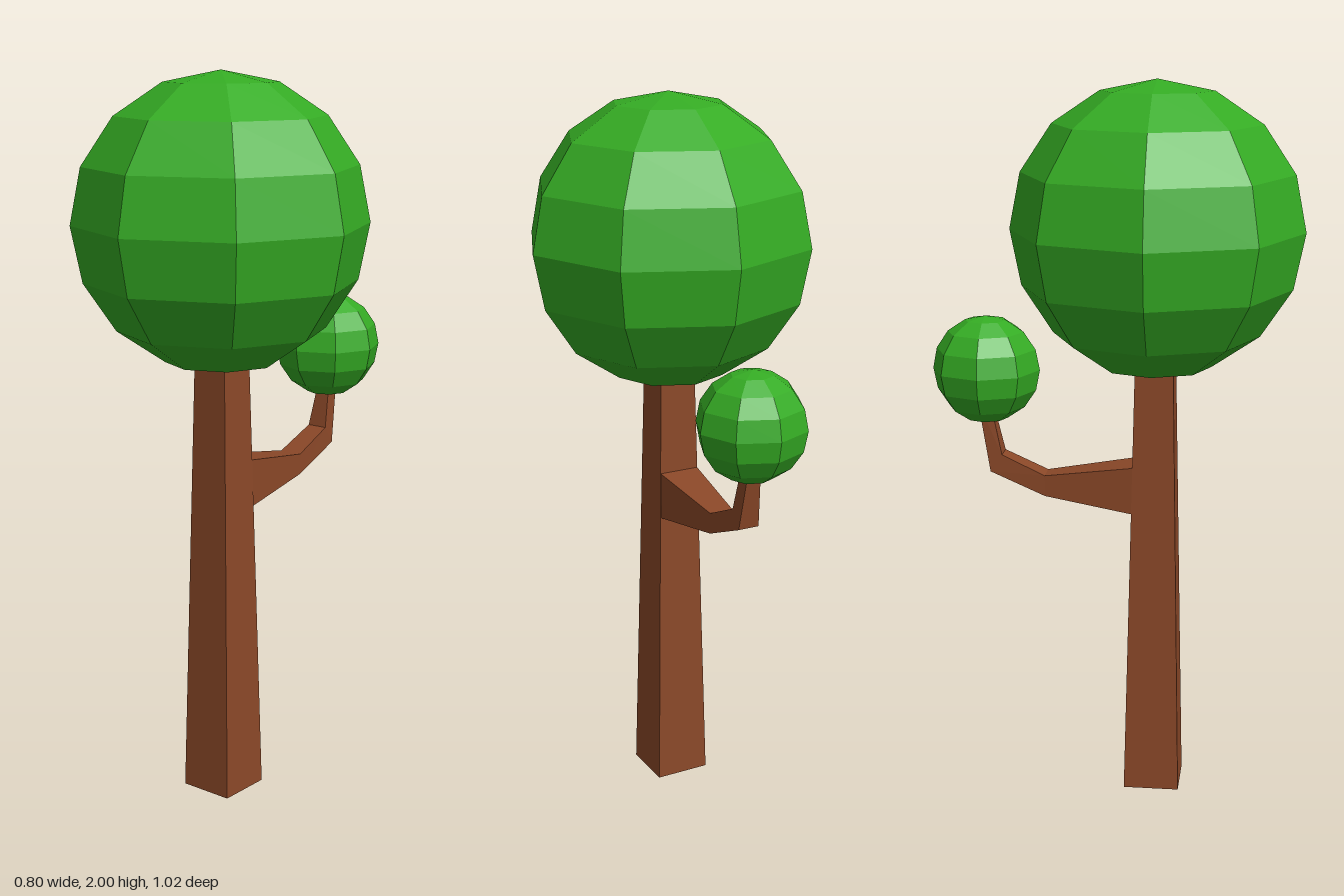
import * as THREE from 'three';

const bark = new THREE.MeshStandardMaterial({ color: 0x8b4828, flatShading: true });
const leaf = new THREE.MeshStandardMaterial({ color: 0x35ac24, flatShading: true });

function add(group, name, geometry, material, x = 0, y = 0, z = 0) {
  const mesh = new THREE.Mesh(geometry, material);
  mesh.name = name;
  mesh.position.set(x, y, z);
  group.add(mesh);
}

// Four-sided limb lofted through rings: [halfWidth, topY, topZ, bottomY, bottomZ, centreX]
function limb(rings) {
  const pos = [], index = [];
  for (const [w, ty, tz, by, bz, cx] of rings) {
    pos.push(cx - w, ty, tz, cx + w, ty, tz, cx + w, by, bz, cx - w, by, bz);
  }
  for (let r = 0; r < rings.length - 1; r++) {
    for (let i = 0; i < 4; i++) {
      const a = r * 4 + i, b = r * 4 + (i + 1) % 4;
      index.push(a, b, a + 4, b, b + 4, a + 4);
    }
  }
  const e = (rings.length - 1) * 4;
  index.push(0, 2, 1, 0, 3, 2, e, e + 1, e + 2, e, e + 2, e + 3);
  const g = new THREE.BufferGeometry();
  g.setAttribute('position', new THREE.Float32BufferAttribute(pos, 3));
  g.setIndex(index);
  const flat = g.toNonIndexed();
  flat.computeVertexNormals();
  return flat;
}

export function createModel() {
  const tree = new THREE.Group();
  tree.name = 'tree';

  // Tapered square trunk
  const trunk = new THREE.CylinderGeometry(0.052 * Math.SQRT2, 0.078 * Math.SQRT2, 1.25, 4);
  trunk.rotateY(Math.PI / 4);
  add(tree, 'trunk', trunk, bark, 0, 0.625, 0.11);

  // Bent branch growing from the back of the trunk
  add(tree, 'branch', limb([
    [0.058, 0.954, 0.054, 0.821, 0.05, 0],
    [0.034, 0.917, -0.196, 0.858, -0.196, 0.002],
    [0.03, 0.972, -0.317, 0.923, -0.35, 0.005],
    [0.017, 1.12, -0.35, 1.12, -0.385, 0.007],
  ]), bark);

  // Faceted foliage balls
  add(tree, 'crown', new THREE.SphereGeometry(0.4, 8, 8), leaf, 0, 1.602, 0.11);
  add(tree, 'branchFoliage', new THREE.SphereGeometry(0.15, 8, 8), leaf, 0.007, 1.21, -0.362);

  return tree;
}
